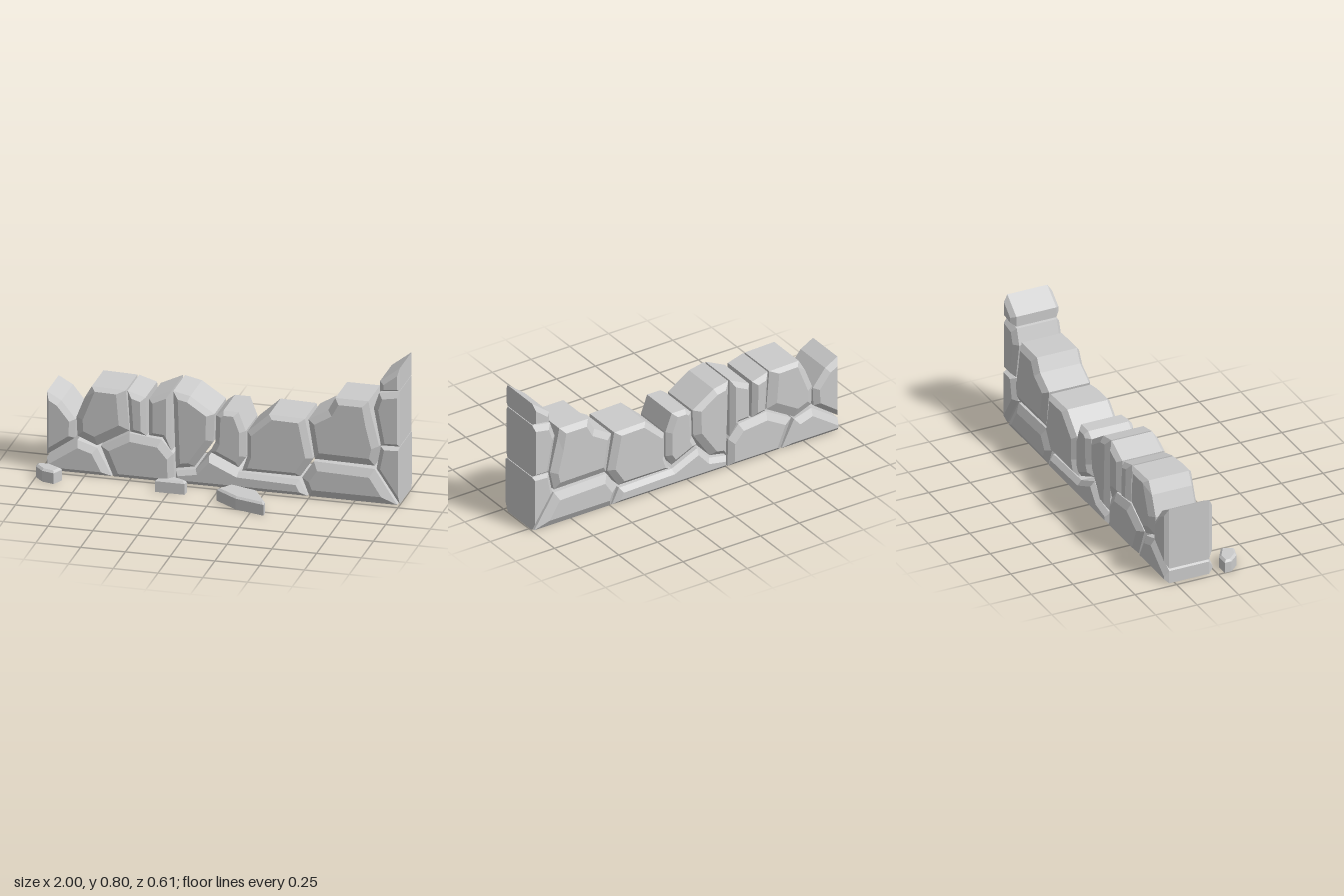
import * as THREE from 'three';

const material = new THREE.MeshStandardMaterial({ color: 0xcccccc, flatShading: true, roughness: 0.9 });

// Shrinks a counter-clockwise outline; each point is [x, y, inset of the edge that starts here].
function insetOutline(points, inset) {
  const n = points.length;
  const edges = points.map(([x, y, own = inset], i) => {
    const [x2, y2] = points[(i + 1) % n];
    const length = Math.hypot(x2 - x, y2 - y);
    const nx = (y - y2) / length, ny = (x2 - x) / length;
    return { nx, ny, d: nx * x + ny * y + own };
  });
  return edges.map((b, i) => {
    const a = edges[(i + n - 1) % n];
    const det = a.nx * b.ny - a.ny * b.nx;
    return [(a.d * b.ny - b.d * a.ny) / det, (a.nx * b.d - b.nx * a.d) / det];
  });
}

// Joins same-length rings [outline, z] from back to front and caps both ends.
function loftRings(rings) {
  const positions = [];
  const put = (ring, i) => positions.push(ring[0][i][0], ring[0][i][1], ring[1]);
  const n = rings[0][0].length;
  for (let r = 0; r + 1 < rings.length; r++) {
    const a = rings[r], b = rings[r + 1];
    for (let i = 0; i < n; i++) {
      const j = (i + 1) % n;
      put(a, i); put(a, j); put(b, j);
      put(a, i); put(b, j); put(b, i);
    }
  }
  const cap = (ring, flip) => {
    const contour = ring[0].map(([x, y]) => new THREE.Vector2(x, y));
    for (const [a, b, c] of THREE.ShapeUtils.triangulateShape(contour, [])) {
      for (const k of flip ? [c, b, a] : [a, b, c]) put(ring, k);
    }
  };
  cap(rings[0], true);
  cap(rings[rings.length - 1], false);
  const geometry = new THREE.BufferGeometry();
  geometry.setAttribute('position', new THREE.Float32BufferAttribute(positions, 3));
  geometry.computeVertexNormals();
  return geometry;
}

// Wall stone, bevelled on front and back
function wallStone(name, inset, points) {
  const front = -0.015, back = -0.305, bevel = 0.025;
  const face = insetOutline(points, inset);
  const mesh = new THREE.Mesh(loftRings([
    [face, back], [points, back + bevel], [points, front - bevel], [face, front],
  ]), material);
  mesh.name = name;
  return mesh;
}

// Rubble lying on the ground, bevelled on top; points are [x, -z]
function looseStone(name, points) {
  const geometry = loftRings([[points, 0], [points, 0.062], [insetOutline(points, 0.012), 0.073]]);
  const mesh = new THREE.Mesh(geometry.rotateX(-Math.PI / 2), material);
  mesh.name = name;
  return mesh;
}

export function createModel() {
  const model = new THREE.Group();
  model.name = 'ruinedStoneWall';

  // Bottom course
  const base = new THREE.Group();
  base.name = 'bottomCourse';
  base.add(
    wallStone('baseStone1', 0.035,
      [[-0.97, 0, 0.025], [-0.61, 0], [-0.69, 0.155], [-0.8, 0.19], [-0.97, 0.075, 0.01]]),
    wallStone('baseStone2', 0.04,
      [[-0.6, 0, 0.025], [-0.26, 0, 0.03], [-0.265, 0.165], [-0.33, 0.24], [-0.51, 0.26], [-0.67, 0.17]]),
    wallStone('baseStone3', 0.025,
      [[-0.25, 0], [0.485, 0], [0.44, 0.09], [0.1, 0.1], [-0.065, 0.175], [-0.14, 0.09], [-0.25, 0.07, 0.015]]),
    wallStone('baseStone4', 0.045,
      [[0.495, 0], [0.985, 0], [0.86, 0.195], [0.52, 0.205], [0.455, 0.105, 0.035]]),
    wallStone('baseCornerStone', 0.025,
      [[1, 0.005, 0.003], [1, 0.335, 0.012], [0.895, 0.33], [0.87, 0.2]]),
  );

  // Broken upper course
  const upper = new THREE.Group();
  upper.name = 'upperCourse';
  upper.add(
    wallStone('leftEndStone', 0.03,
      [[-0.97, 0.09], [-0.815, 0.2], [-0.81, 0.31], [-0.89, 0.41], [-0.97, 0.455, 0.015]]),
    wallStone('upperStone1', 0.04,
      [[-0.69, 0.17, 0.055], [-0.51, 0.275, 0.05], [-0.53, 0.505, 0.02], [-0.72, 0.51, 0.03],
        [-0.76, 0.44], [-0.805, 0.325], [-0.8, 0.215, 0.05]]),
    wallStone('upperStone2', 0.025,
      [[-0.505, 0.27], [-0.415, 0.255], [-0.42, 0.475], [-0.52, 0.505]]),
    wallStone('upperStone3', 0.025,
      [[-0.325, 0.255], [-0.275, 0.18], [-0.275, 0.53], [-0.4, 0.47], [-0.4, 0.26]]),
    wallStone('upperStone4', 0.04,
      [[-0.25, 0.085, 0.03], [-0.145, 0.105], [-0.04, 0.26], [-0.035, 0.42, 0.03], [-0.17, 0.51, 0.03],
        [-0.265, 0.53, 0.03]]),
    wallStone('upperStone5', 0.03,
      [[-0.06, 0.2], [0.1, 0.125], [0.14, 0.19], [0.14, 0.34], [0.1, 0.445, 0.02],
        [0.015, 0.445, 0.02], [-0.025, 0.415], [-0.03, 0.26]]),
    wallStone('upperStone6', 0.035,
      [[0.12, 0.11, 0.025], [0.445, 0.11], [0.515, 0.22], [0.47, 0.445, 0.02], [0.27, 0.45, 0.03],
        [0.15, 0.34, 0.025], [0.15, 0.2, 0.025]]),
    wallStone('upperStone7', 0.035,
      [[0.525, 0.22, 0.045], [0.86, 0.215], [0.885, 0.33, 0.04], [0.835, 0.53], [0.825, 0.585, 0.03],
        [0.64, 0.585], [0.6, 0.51], [0.49, 0.445]]),
    wallStone('rightEndStone', 0.03,
      [[0.895, 0.337, 0.02], [1, 0.34, 0.008], [1, 0.66], [0.885, 0.64], [0.855, 0.55]]),
    wallStone('rightTopStone', 0.025,
      [[0.89, 0.65, 0.015], [1, 0.665, 0.008], [1, 0.795], [0.89, 0.71]]),
  );

  // Fallen pieces in front of the wall
  const rubble = new THREE.Group();
  rubble.name = 'rubble';
  rubble.add(
    looseStone('looseStoneLeft',
      [[-0.95, -0.135], [-0.88, -0.155], [-0.85, -0.09], [-0.93, -0.04], [-1, -0.04], [-1, -0.08]]),
    looseStone('looseStoneMiddle',
      [[-0.325, -0.12], [-0.16, -0.12], [-0.155, -0.085], [-0.235, -0.045], [-0.265, -0.08], [-0.32, -0.09]]),
    looseStone('looseStoneRight',
      [[0.03, -0.155], [0.16, -0.25], [0.33, -0.3], [0.33, -0.265], [0.245, -0.12], [0.09, -0.07]]),
  );

  model.add(base, upper, rubble);
  return model;
}
